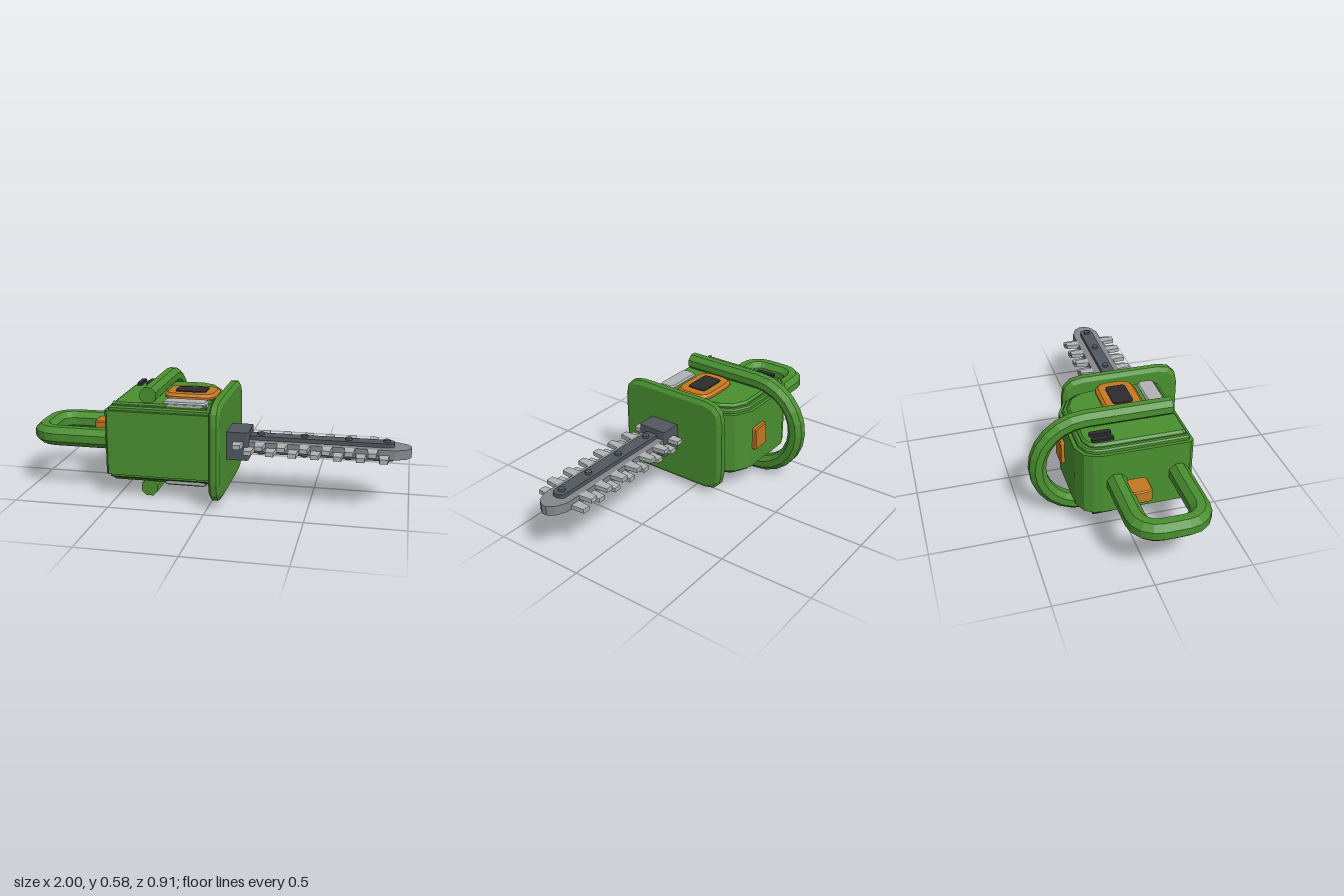
import * as THREE from 'three';

const mat = (name, color) => {
  const m = new THREE.MeshStandardMaterial({ color });
  m.name = name;
  return m;
};

const MID = 0.292;   // height of the plane of symmetry
const BLADE_Z = 0.18;

// Shapes in plan use (x, -z) so they can be laid flat
const planShape = (pts) => new THREE.Shape(pts.map(([x, z]) => new THREE.Vector2(x, -z)));

function roundedRect(x0, x1, y0, y1, r) {
  const s = new THREE.Shape();
  s.moveTo(x0 + r, y0);
  s.lineTo(x1 - r, y0);
  s.quadraticCurveTo(x1, y0, x1, y0 + r);
  s.lineTo(x1, y1 - r);
  s.quadraticCurveTo(x1, y1, x1 - r, y1);
  s.lineTo(x0 + r, y1);
  s.quadraticCurveTo(x0, y1, x0, y1 - r);
  s.lineTo(x0, y0 + r);
  s.quadraticCurveTo(x0, y0, x0 + r, y0);
  return s;
}
const planRect = (x0, x1, z0, z1, r) => roundedRect(x0, x1, -z1, -z0, r);

// Extrusion between lo and hi, with the bevel kept inside the outline
function extrude(shape, lo, hi, bevel = 0, inset = 0, thick = bevel) {
  return new THREE.ExtrudeGeometry(shape, {
    depth: hi - lo - 2 * thick, curveSegments: 3,
    bevelEnabled: bevel > 0, bevelSize: bevel, bevelThickness: thick,
    bevelOffset: -bevel - inset, bevelSegments: 1,
  }).translate(0, 0, lo + thick);
}
const slab = (shape, lo, hi, bevel, inset, thick) =>
  extrude(shape, lo, hi, bevel, inset, thick).rotateX(-Math.PI / 2);

// Faceted eight-sided bar swept along a flat path with mitred joints
function sweep(points, normal, apothem) {
  const n = 8, r = apothem / Math.cos(Math.PI / n), pos = [];
  const rings = points.map((p, i) => {
    const a = points[Math.max(i - 1, 0)], b = points[Math.min(i + 1, points.length - 1)];
    const d1 = (i ? p.clone().sub(a) : b.clone().sub(p)).normalize();
    const d2 = (i < points.length - 1 ? b.clone().sub(p) : d1.clone()).normalize();
    const t = d1.clone().add(d2).normalize();
    const side = normal.clone().cross(t).divideScalar(t.dot(d1));
    return Array.from({ length: n }, (_, j) => {
      const ang = ((j + 0.5) / n) * Math.PI * 2;
      return p.clone().addScaledVector(side, r * Math.cos(ang)).addScaledVector(normal, r * Math.sin(ang));
    });
  });
  const tri = (...v) => v.forEach((q) => pos.push(q.x, q.y, q.z));
  const last = rings.length - 1;
  for (let j = 0; j < n; j++) {
    const k = (j + 1) % n;
    for (let i = 0; i < last; i++) {
      tri(rings[i][j], rings[i][k], rings[i + 1][k]);
      tri(rings[i][j], rings[i + 1][k], rings[i + 1][j]);
    }
    tri(points[0], rings[0][k], rings[0][j]);
    tri(points[last], rings[last][j], rings[last][k]);
  }
  const g = new THREE.BufferGeometry();
  g.setAttribute('position', new THREE.Float32BufferAttribute(pos, 3));
  g.computeVertexNormals();
  return g;
}

export function createModel() {
  const model = new THREE.Group();
  model.name = 'hedgeTrimmer';
  const green = mat('green', 0x4a9030);
  const orange = mat('orange', 0xc47820);
  const slate = mat('slate', 0x50585f);
  const steel = mat('steel', 0x85878c);
  const paleGrey = mat('paleGrey', 0xb0b2b4);
  const black = mat('black', 0x2c2c2f);

  const add = (name, geometry, material) => {
    const m = new THREE.Mesh(geometry, material);
    m.name = name;
    model.add(m);
    return m;
  };
  // Same plate on the top and the underside
  const pair = (name, shape, from, to, material, bevel) => {
    add(name + 'Top', slab(shape, MID + from, MID + to, bevel), material);
    add(name + 'Bottom', slab(shape, MID - to, MID - from, bevel), material);
  };

  // Motor housing with stepped cheeks
  const housing = planShape([
    [-0.56, 0.32], [-0.545, 0.338], [-0.005, 0.338], [0.01, 0.32],
    [0.01, -0.05], [0, -0.12], [-0.05, -0.2], [-0.14, -0.245],
    [-0.46, -0.245], [-0.525, -0.215], [-0.55, -0.175], [-0.56, -0.13],
  ]);
  add('housing', slab(housing, MID - 0.172, MID + 0.172), green);
  for (const s of [1, -1]) {
    const range = (a, b) => (s > 0 ? [MID + a, MID + b] : [MID - b, MID - a]);
    add('housingStep', slab(housing, ...range(0.15, 0.194), 0.008, 0.018), green);
    add('housingCheek', slab(housing, ...range(0.17, 0.213), 0.012, 0.04), green);
  }

  // Details on both cheeks
  pair('accentPanel', planRect(-0.29, -0.01, -0.03, 0.18, 0.07), 0.2, 0.238, orange, 0.014);
  pair('accentGrille', planRect(-0.235, -0.07, 0.02, 0.128, 0.02), 0.234, 0.243, black);
  pair('palePlate', planRect(-0.26, -0.03, 0.205, 0.298, 0.03), 0.19, 0.224, paleGrey, 0.008);
  for (const x of [-0.485, -0.435]) {
    pair('ventSlot', planRect(x - 0.013, x + 0.013, -0.165, -0.055, 0.008), 0.205, 0.228, black);
  }

  // Button on the back
  add('backButton', extrude(roundedRect(-0.255, -0.15, MID - 0.066, MID + 0.066, 0.012), -0.268, -0.235, 0.006), orange);

  // Rear handle: a rounded U lying flat
  const rear = [new THREE.Vector3(-0.52, MID, -0.058)];
  for (const [cz, start] of [[0.042, -90], [0.162, -180]]) {
    for (let i = 0; i <= 4; i++) {
      const a = THREE.MathUtils.degToRad(start - i * 22.5);
      rear.push(new THREE.Vector3(-0.85 + 0.1 * Math.cos(a), MID, cz + 0.1 * Math.sin(a)));
    }
  }
  rear.push(new THREE.Vector3(-0.52, MID, 0.262));
  add('rearHandle', sweep(rear, new THREE.Vector3(0, 1, 0), 0.05), green);
  add('trigger', slab(planRect(-0.708, -0.592, -0.03, 0.082, 0.025), MID - 0.035, MID + 0.035, 0.006), orange);

  // Loop handle wrapping the housing
  const loop = [new THREE.Vector3(-0.337, MID + 0.249, 0.29)];
  for (let i = 0; i <= 12; i++) {
    const a = (i / 12) * Math.PI;
    loop.push(new THREE.Vector3(-0.337, MID + 0.249 * Math.cos(a), -0.16 - 0.249 * Math.sin(a)));
  }
  loop.push(new THREE.Vector3(-0.337, MID - 0.249, 0.29));
  add('loopHandle', sweep(loop, new THREE.Vector3(1, 0, 0), 0.043), green);

  // Hand guard
  add('guard', extrude(roundedRect(-0.455, 0.185, 0.031, 0.552, 0.11), 0.01, 0.07, 0.022, 0, 0.015)
    .rotateY(Math.PI / 2), green);

  // Gear block and cutter bar
  add('gearBlock', slab(planRect(0.06, 0.182, BLADE_Z - 0.085, BLADE_Z + 0.085, 0.012), MID - 0.074, MID + 0.074), slate);
  const z = (d) => BLADE_Z + d;
  add('bladeBar', slab(planShape([
    [0.15, z(0.075)], [0.92, z(0.075)], [0.975, z(0.05)], [1, z(0.015)],
    [1, z(-0.015)], [0.975, z(-0.05)], [0.92, z(-0.075)], [0.15, z(-0.075)],
  ]), MID - 0.025, MID + 0.025), steel);
  pair('barCover', planRect(0.17, 0.915, z(-0.036), z(0.036), 0.03), 0.02, 0.046, slate);

  // Rivets
  for (const x of [0.235, 0.46, 0.685, 0.875]) {
    add('rivet', new THREE.CylinderGeometry(0.018, 0.018, 0.116, 8).translate(x, MID, BLADE_Z), slate);
  }

  // Teeth alternate between the upper and the lower blade
  for (let i = 0; i < 14; i++) {
    const x = 0.13 + i * 0.0566;
    const lo = MID + (i % 2 ? -0.025 : 0.002);
    for (const s of [1, -1]) {
      const tooth = planShape([
        [x - 0.027, z(s * 0.07)], [x + 0.027, z(s * 0.07)],
        [x + 0.02, z(s * 0.147)], [x - 0.02, z(s * 0.147)],
      ]);
      add('tooth', slab(tooth, lo, lo + 0.023), paleGrey);
    }
  }
  return model;
}
